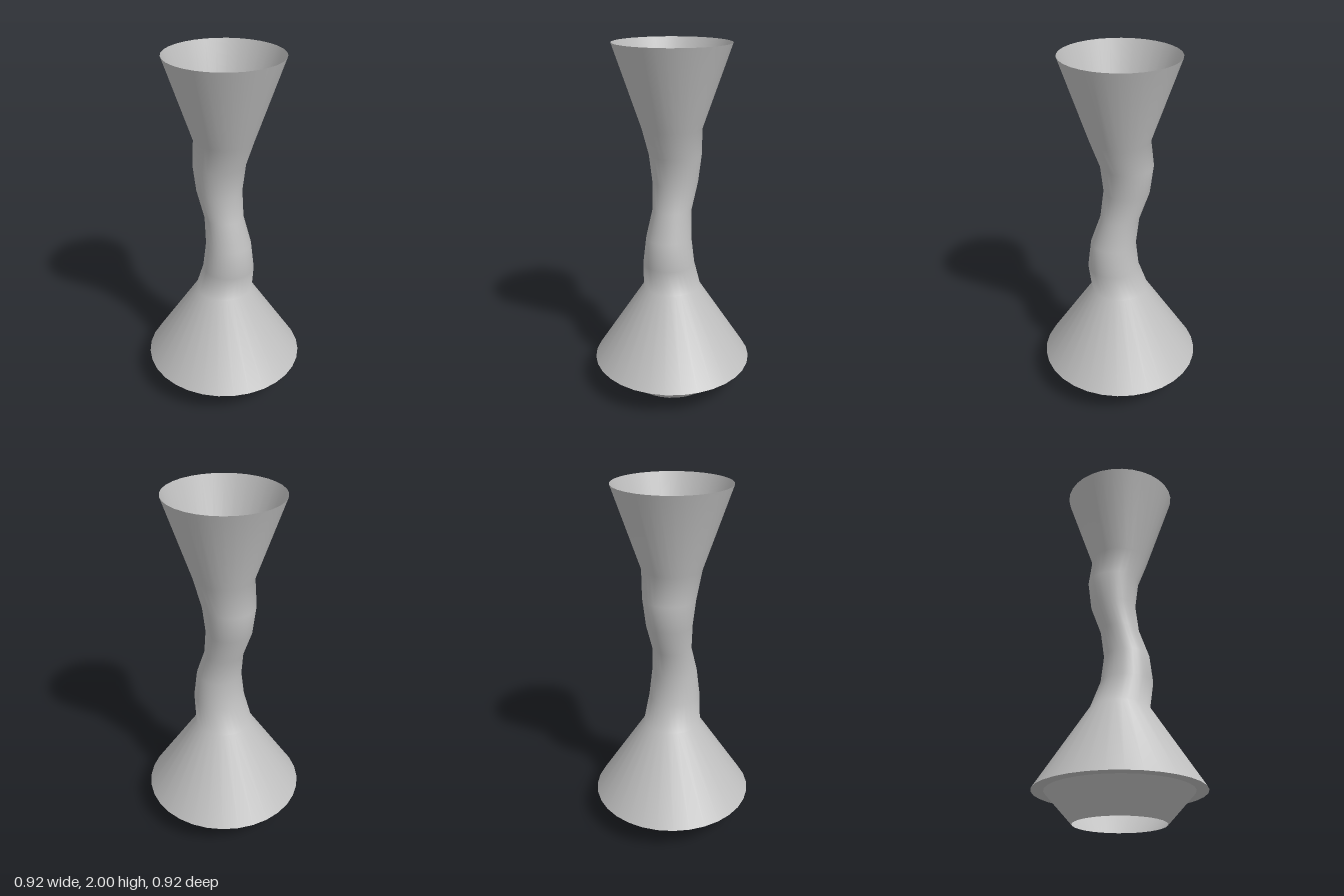
import * as THREE from 'three';
import { mergeVertices } from 'three/addons/utils/BufferGeometryUtils.js';

const SIDES = 32;

// Open shell turned from [radius, height] pairs; sway(y) shifts each ring sideways
function shell(name, profile, material, sway = () => 0) {
  let geo = new THREE.LatheGeometry(profile.map(([r, y]) => new THREE.Vector2(r, y)), SIDES);
  const pos = geo.attributes.position;
  for (let i = 0; i < pos.count; i++) pos.setX(i, pos.getX(i) + sway(pos.getY(i)));
  geo.deleteAttribute('uv');
  geo.deleteAttribute('normal');
  geo = mergeVertices(geo, 1e-5);
  geo.computeVertexNormals();
  const mesh = new THREE.Mesh(geo, material);
  mesh.name = name;
  return mesh;
}

export function createModel() {
  const group = new THREE.Group();
  group.name = 'vase';
  const grey = new THREE.MeshStandardMaterial({ color: 0xc0c0c0, side: THREE.DoubleSide });
  grey.name = 'plain grey';

  // Body: flared skirt, S-curved neck, flared open mouth
  const low = 0.62, high = 1.55, mid = (low + high) / 2;
  const body = [[0.46, 0.165]];
  for (let i = 0; i <= 6; i++) {
    const y = low + (high - low) * i / 6;
    body.push([0.11 + 0.055 * Math.abs(y - mid) / (mid - low), y]);
  }
  body.push([0.318, 2]);
  const sway = y => (y > low && y < high)
    ? 0.046 * Math.sin(2 * Math.PI * (y - low) / (high - low)) : 0;
  group.add(shell('body', body, grey, sway));

  // Underside of the skirt and the tapered foot, open at the bottom
  group.add(shell('skirtUnderside', [[0.395, 0.165], [0.46, 0.165]], grey));
  group.add(shell('foot', [[0.245, 0], [0.395, 0.165]], grey));
  return group;
}
